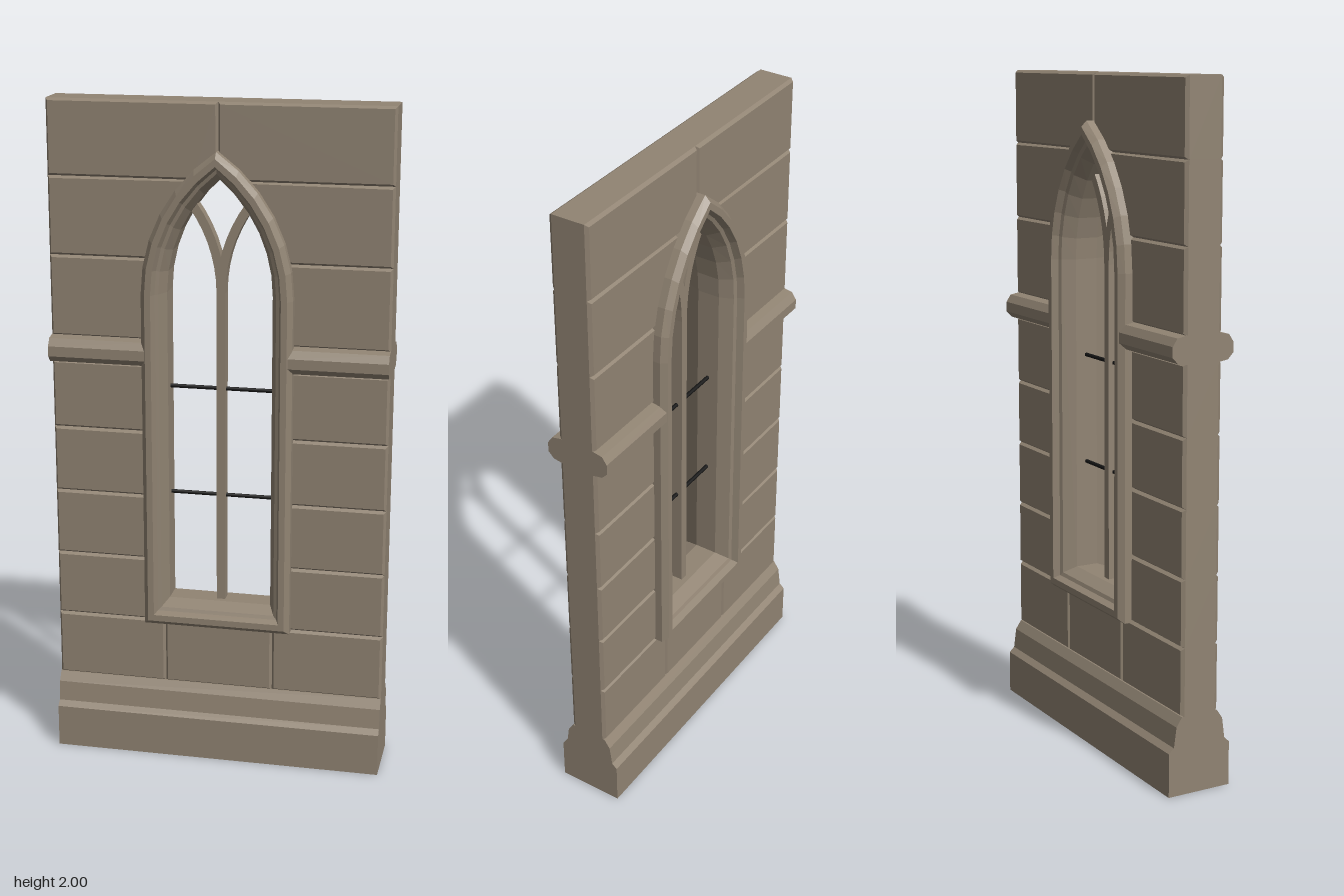
import * as THREE from 'three';

const SPRING = 1.45; // height where the pointed arch begins
const OFFSET = 0.277; // distance of each arch centre past the middle line
const OUTER = 0.222;

export function createModel() {
  const stone = new THREE.MeshStandardMaterial({ color: 0x918473 });
  stone.name = 'stone';
  const iron = new THREE.MeshStandardMaterial({ color: 0x151515 });
  iron.name = 'iron';

  const group = new THREE.Group();
  group.name = 'gothicWindowWall';
  const add = (name, geometry, material = stone) => {
    const mesh = new THREE.Mesh(geometry, material);
    mesh.name = name;
    group.add(mesh);
  };
  const shapeOf = (pts) => new THREE.Shape(pts.map(([x, y]) => new THREE.Vector2(x, y)));

  // Bevelled stone block running through the whole wall
  const block = (name, pts) => {
    const g = new THREE.ExtrudeGeometry(shapeOf(pts), {
      depth: 0.1, bevelThickness: 0.01, bevelSize: 0.007, bevelOffset: -0.007, bevelSegments: 1,
    });
    add(name, g.translate(0, 0, -0.05));
  };

  // Symmetric moulding: half profile of [z, y], extruded along x
  const moulding = (name, half, x0, x1) => {
    const pts = [...half, ...half.map(([z, y]) => [-z, y]).reverse()];
    const g = new THREE.ExtrudeGeometry(shapeOf(pts), { depth: x1 - x0, bevelEnabled: false });
    add(name, g.rotateY(Math.PI / 2).translate(x0, 0, 0));
  };

  // Plinth
  moulding('plinth', [[0.1, 0], [0.1, 0.13], [0.084, 0.145], [0.076, 0.205], [0.058, 0.232]], -0.5, 0.5);

  // Course below the window
  const joints = [-0.5, -0.165, 0.165, 0.5];
  for (let i = 0; i < 3; i++) {
    const a = joints[i], b = joints[i + 1];
    block('sillCourseBlock', [[a, 0.23], [b, 0.23], [b, 0.432], [a, 0.432]]);
  }

  // Side courses; their inner edge is hidden behind the window surround
  const inner = 0.2;
  const R = inner + OFFSET;
  const apex = SPRING + Math.sqrt(R * R - OFFSET * OFFSET);
  const edgeX = (y) => (y <= SPRING ? inner : Math.max(0, Math.sqrt(R * R - (y - SPRING) ** 2) - OFFSET));
  const courses = [[0.432, 0.63], [0.63, 0.83], [0.83, 1.03], [1.03, 1.235],
    [1.31, 1.55], [1.55, 1.78], [1.78, 2]];
  for (const [y0, y1] of courses) {
    const pts = [[0.5, y0], [0.5, y1]];
    if (y1 > apex) pts.push([0, y1]);
    const top = Math.min(y1, apex);
    const n = y1 > SPRING ? 4 : 1;
    for (let i = 0; i <= n; i++) {
      const y = top + (y0 - top) * i / n;
      pts.push([edgeX(y), y]);
    }
    for (const s of [1, -1]) block('wallBlock', pts.map(([x, y]) => [s * x, y]));
  }

  // String course on both sides of the window
  const band = [[0.05, 1.232], [0.08, 1.237], [0.097, 1.255], [0.097, 1.285], [0.082, 1.307], [0.05, 1.313]];
  moulding('leftStringCourse', band, 0.2, 0.5);
  moulding('rightStringCourse', band, -0.5, -0.2);

  // Window surround: section of [half width, z] swept around the pointed opening
  const front = [[0.222, 0.04], [0.222, 0.083], [0.208, 0.1], [0.19, 0.1], [0.182, 0.08], [0.172, 0.075], [0.155, 0.035]];
  const mirrored = front.map(([w, z]) => [w, -z]).reverse();
  add('windowSurround', sweepSurround([...front, ...mirrored]));

  // Central mullion and its two curved branches
  add('mullion', new THREE.BoxGeometry(0.026, 1.03, 0.036).translate(0, 0.995, 0));
  const radius = 0.155 + OFFSET;
  for (const s of [1, -1]) {
    const arc = (r) => Array.from({ length: 8 }, (_, i) => {
      const a = 0.64 * i / 7;
      return [s * (radius - r * Math.cos(a)), SPRING + r * Math.sin(a)];
    });
    const pts = [...arc(radius + 0.013), ...arc(radius - 0.013).reverse()];
    const g = new THREE.ExtrudeGeometry(shapeOf(pts), { depth: 0.036, bevelEnabled: false });
    add('traceryBranch', g.translate(0, 0, -0.018));
  }

  // Iron cross bars
  for (const y of [0.83, 1.16]) {
    add('crossBar', new THREE.CylinderGeometry(0.006, 0.006, 0.32, 8).rotateZ(Math.PI / 2).translate(0, y, 0), iron);
  }
  return group;
}

// Pointed-arch outline for a given half width, anticlockwise from the lower left
function outline(w) {
  const sill = 0.43 + (OUTER - w) * 1.045;
  const r = w + OFFSET;
  const end = Math.acos(OFFSET / r);
  const n = 6;
  const right = [];
  for (let i = 0; i <= n; i++) {
    const a = end * i / n;
    right.push([r * Math.cos(a) - OFFSET, SPRING + r * Math.sin(a)]);
  }
  const left = right.slice(0, n).reverse().map(([x, y]) => [-x, y]);
  return [[-w, sill], [w, sill], ...right, ...left];
}

// Closed, faceted loft of the section around the outline
function sweepSurround(section) {
  const loops = section.map(([w, z]) => outline(w).map(([x, y]) => [x, y, z]));
  const pos = [];
  loops.forEach((loop, k) => {
    const next = loops[(k + 1) % loops.length];
    loop.forEach((a, i) => {
      const j = (i + 1) % loop.length;
      pos.push(...a, ...loop[j], ...next[j], ...a, ...next[j], ...next[i]);
    });
  });
  const g = new THREE.BufferGeometry();
  g.setAttribute('position', new THREE.Float32BufferAttribute(pos, 3));
  g.computeVertexNormals();
  return g;
}
